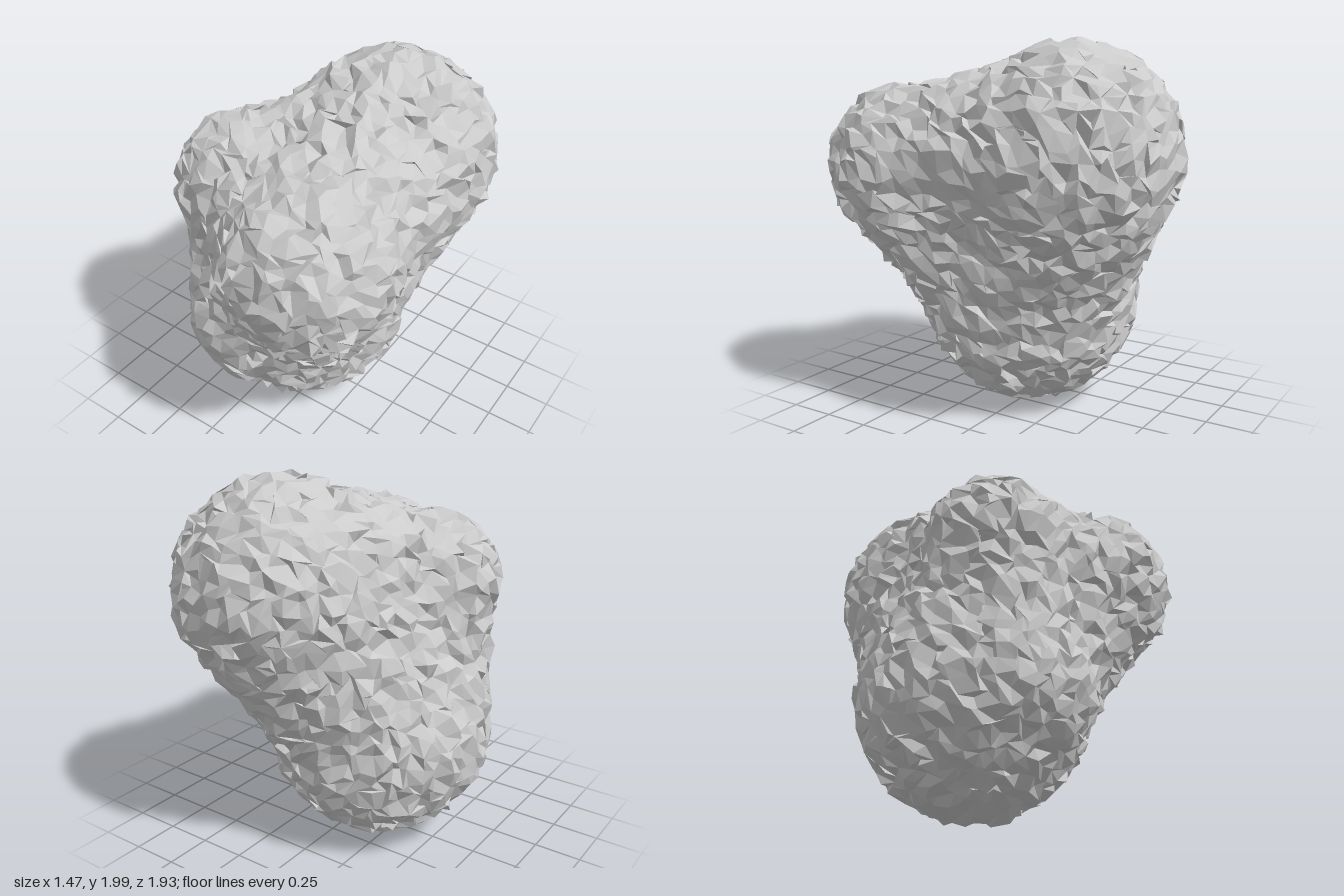
import * as THREE from 'three';

// Rounded lobes of the boulder: centre and radius (blending adds a little)
const LOBES = {
  highBack: [0.17, 1.42, -0.40, 0.51],
  upperFront: [0.29, 1.32, 0.52, 0.39],
  upperSide: [-0.30, 1.39, 0.23, 0.315],
  base: [-0.14, 0.60, 0.02, 0.545],
  lowerFront: [-0.22, 0.60, 0.29, 0.36],
};
// Tapered bodies joining pairs of lobes
const LINKS = [
  ['highBack', 'upperFront'], ['highBack', 'upperSide'], ['highBack', 'base'],
  ['upperFront', 'upperSide'], ['upperFront', 'base'],
  ['upperSide', 'base'], ['upperSide', 'lowerFront'], ['lowerFront', 'base'],
].map((pair) => pair.map((name) => {
  const [x, y, z, r] = LOBES[name];
  return { c: new THREE.Vector3(x, y, z), r };
}));
const BLEND = 0.1;
const STEP = 0.07;
const ROUGHNESS = 0.026;
const ORIGIN = [-0.91, -0.14, -1.12];
const COUNT = [27, 34, 33];

// Distance to the linked lobes, softly blended together
const axis = new THREE.Vector3(), rel = new THREE.Vector3();
function distance(p) {
  let d = 10;
  for (const [a, b] of LINKS) {
    axis.subVectors(b.c, a.c);
    rel.subVectors(p, a.c);
    const t = THREE.MathUtils.clamp(rel.dot(axis) / axis.lengthSq(), 0, 1);
    const e = rel.addScaledVector(axis, -t).length() - THREE.MathUtils.lerp(a.r, b.r, t);
    const h = Math.max(BLEND - Math.abs(d - e), 0) / BLEND;
    d = Math.min(d, e) - h * h * BLEND * 0.25;
  }
  return d;
}

function seededRandom(seed) {
  return () => {
    seed = (Math.imul(seed, 1664525) + 1013904223) >>> 0;
    return seed / 4294967296;
  };
}

const gridPoint = (i, j, k) => new THREE.Vector3(
  ORIGIN[0] + i * STEP, ORIGIN[1] + j * STEP, ORIGIN[2] + k * STEP);

// Pull a point onto the blended surface along the slope of the distance
function project(p) {
  const e = 0.002;
  for (let n = 0; n < 4; n++) {
    const d = distance(p);
    const slope = new THREE.Vector3(...['x', 'y', 'z'].map((key) => {
      const q = p.clone();
      q[key] += e;
      return (distance(q) - d) / e;
    }));
    p.addScaledVector(slope, -d / slope.lengthSq());
  }
  return p;
}

function boulderGeometry() {
  const random = seededRandom(7);
  const jitter = () => (random() * 2 - 1) * ROUGHNESS;
  const stride = [1, COUNT[0], COUNT[0] * COUNT[1]];
  const inside = [];
  for (let k = 0; k < COUNT[2]; k++)
    for (let j = 0; j < COUNT[1]; j++)
      for (let i = 0; i < COUNT[0]; i++) inside.push(distance(gridPoint(i, j, k)) < 0);

  // One roughened vertex for each grid cell that the surface crosses
  const positions = [], indices = [], cellVertex = new Map();
  function vertexOf(cell) {
    if (!cellVertex.has(cell)) {
      const i = cell % COUNT[0];
      const j = Math.floor(cell / stride[1]) % COUNT[1];
      const k = Math.floor(cell / stride[2]);
      const p = project(gridPoint(i + 0.5, j + 0.5, k + 0.5));
      cellVertex.set(cell, positions.length / 3);
      positions.push(p.x + jitter(), p.y + jitter(), p.z + jitter());
    }
    return cellVertex.get(cell);
  }

  // One quad across each grid edge that passes through the surface
  inside.forEach((isInside, node) => {
    for (let a = 0; a < 3; a++) {
      const next = inside[node + stride[a]];
      if (next === undefined || next === isInside) continue;
      const b = stride[(a + 1) % 3], c = stride[(a + 2) % 3];
      const quad = [node, node - b, node - b - c, node - c].map(vertexOf);
      if (!isInside) quad.reverse();
      indices.push(quad[0], quad[1], quad[2], quad[0], quad[2], quad[3]);
    }
  });

  const geometry = new THREE.BufferGeometry();
  geometry.setAttribute('position', new THREE.Float32BufferAttribute(positions, 3));
  geometry.setIndex(indices);
  const faceted = geometry.toNonIndexed();
  faceted.computeVertexNormals();
  return faceted;
}

export function createModel() {
  const group = new THREE.Group();
  group.name = 'asteroid';
  const material = new THREE.MeshStandardMaterial({ color: 0xcccccc, flatShading: true });
  const rock = new THREE.Mesh(boulderGeometry(), material);
  rock.name = 'rock';
  group.add(rock);
  return group;
}
